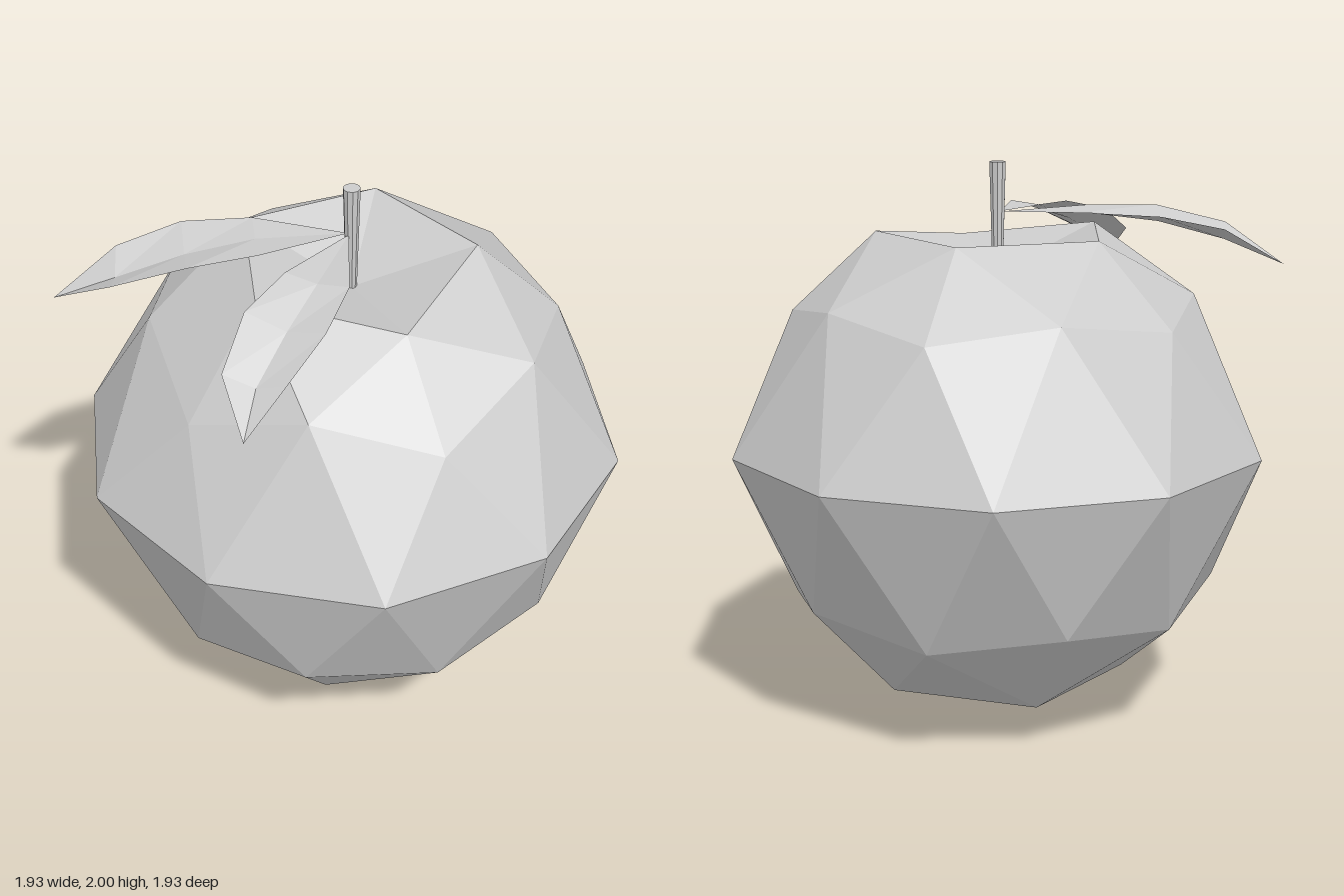
import * as THREE from 'three';

const CX = 0.045; // fruit axis
const grey = new THREE.MeshStandardMaterial({ color: 0xcccccc, side: THREE.DoubleSide });
grey.name = 'pale grey';
grey.flatShading = true;

// Flat-shaded mesh from a list of [a, b, c] point triples
function facetMesh(name, tris) {
  const geo = new THREE.BufferGeometry();
  geo.setAttribute('position', new THREE.Float32BufferAttribute(tris.flat(2), 3));
  geo.computeVertexNormals();
  const mesh = new THREE.Mesh(geo, grey);
  mesh.name = name;
  return mesh;
}

// Ring of n points; at(i) gives [radius, height]
function ring(n, startDeg, at) {
  return Array.from({ length: n }, (_, i) => {
    const a = THREE.MathUtils.degToRad(startDeg + (360 / n) * i);
    const [r, y] = at(i);
    return [CX + r * Math.cos(a), y, r * Math.sin(a)];
  });
}

// Faceted fruit: a once-subdivided icosahedron with a dented top and tapered base
function makeFruit() {
  const dent = [CX, 1.61, 0];
  const base = [CX, 0, 0];
  const rim = ring(5, 0, (i) => [0.43, i === 1 ? 1.69 : 1.755]);
  rim.forEach((p) => { p[2] += 0.012; });
  const shoulder = ring(10, 0, (i) =>
    i % 2 ? [0.695, 1.535] : [0.73, i === 2 || i === 4 ? 1.39 : 1.475]);
  const equator = ring(10, 18, () => [0.965, 1]);
  const belly = ring(10, 0, (i) => (i % 2 ? [0.78, 0.495] : [0.74, 0.43]));
  const foot = ring(5, 36, () => [0.455, 0.14]);

  const tris = [];
  for (let k = 0; k < 5; k++) {
    const n = (k + 1) % 5, j = 2 * k;
    // top cap
    tris.push([dent, rim[n], rim[k]], [rim[k], rim[n], shoulder[j + 1]]);
    tris.push([rim[k], shoulder[j + 1], shoulder[j]]);
    tris.push([rim[n], shoulder[(j + 2) % 10], shoulder[j + 1]]);
    // bottom cap
    const b = [1, 2, 3].map((d) => belly[(j + d) % 10]);
    tris.push([base, foot[k], foot[n]], [b[1], foot[n], foot[k]]);
    tris.push([foot[k], b[0], b[1]], [foot[n], b[1], b[2]]);
  }
  // middle bands
  for (let j = 0; j < 10; j++) {
    const n = (j + 1) % 10, p = (j + 9) % 10;
    tris.push([shoulder[j], shoulder[n], equator[j]], [shoulder[j], equator[j], equator[p]]);
    tris.push([equator[j], belly[n], belly[j]], [equator[p], equator[j], belly[j]]);
  }
  return facetMesh('fruit', tris);
}

// Folded leaf: stations of [left edge, midrib, right edge] between root and tip
function makeLeaf(name, root, stations, tip) {
  const rows = [[root, root, root], ...stations, [tip, tip, tip]];
  const tris = [];
  for (let i = 0; i < rows.length - 1; i++) {
    for (let s = 0; s < 2; s++) {
      const [a, b] = [rows[i][s], rows[i][s + 1]];
      const [c, d] = [rows[i + 1][s], rows[i + 1][s + 1]];
      if (a !== b) tris.push([a, b, d]);
      if (c !== d) tris.push([a, d, c]);
    }
  }
  return facetMesh(name, tris);
}

export function createModel() {
  const model = new THREE.Group();
  model.name = 'fruitWithLeaves';
  model.add(makeFruit());

  // Stem, slightly wider at the top
  const stem = new THREE.Mesh(new THREE.CylinderGeometry(0.03, 0.019, 0.4, 10), grey);
  stem.name = 'stem';
  stem.position.set(CX, 1.8, 0);
  model.add(stem);

  // Leaf reaching sideways
  model.add(makeLeaf('sideLeaf', [0.035, 1.825, 0], [
    [[-0.28, 1.835, -0.12], [-0.28, 1.825, 0], [-0.28, 1.835, 0.12]],
    [[-0.52, 1.825, -0.14], [-0.52, 1.79, 0.015], [-0.52, 1.83, 0.165]],
    [[-0.745, 1.775, -0.09], [-0.755, 1.725, 0.03], [-0.77, 1.77, 0.155]],
  ], [-0.965, 1.64, 0]));

  // Leaf drooping over the front
  model.add(makeLeaf('frontLeaf', [0.035, 1.825, 0.01], [
    [[0, 1.825, 0.325], [-0.1, 1.815, 0.28], [-0.2, 1.835, 0.23]],
    [[-0.095, 1.775, 0.505], [-0.215, 1.745, 0.44], [-0.345, 1.79, 0.375]],
    [[-0.235, 1.69, 0.655], [-0.33, 1.655, 0.61], [-0.435, 1.69, 0.57]],
  ], [-0.385, 1.575, 0.785]));

  return model;
}
